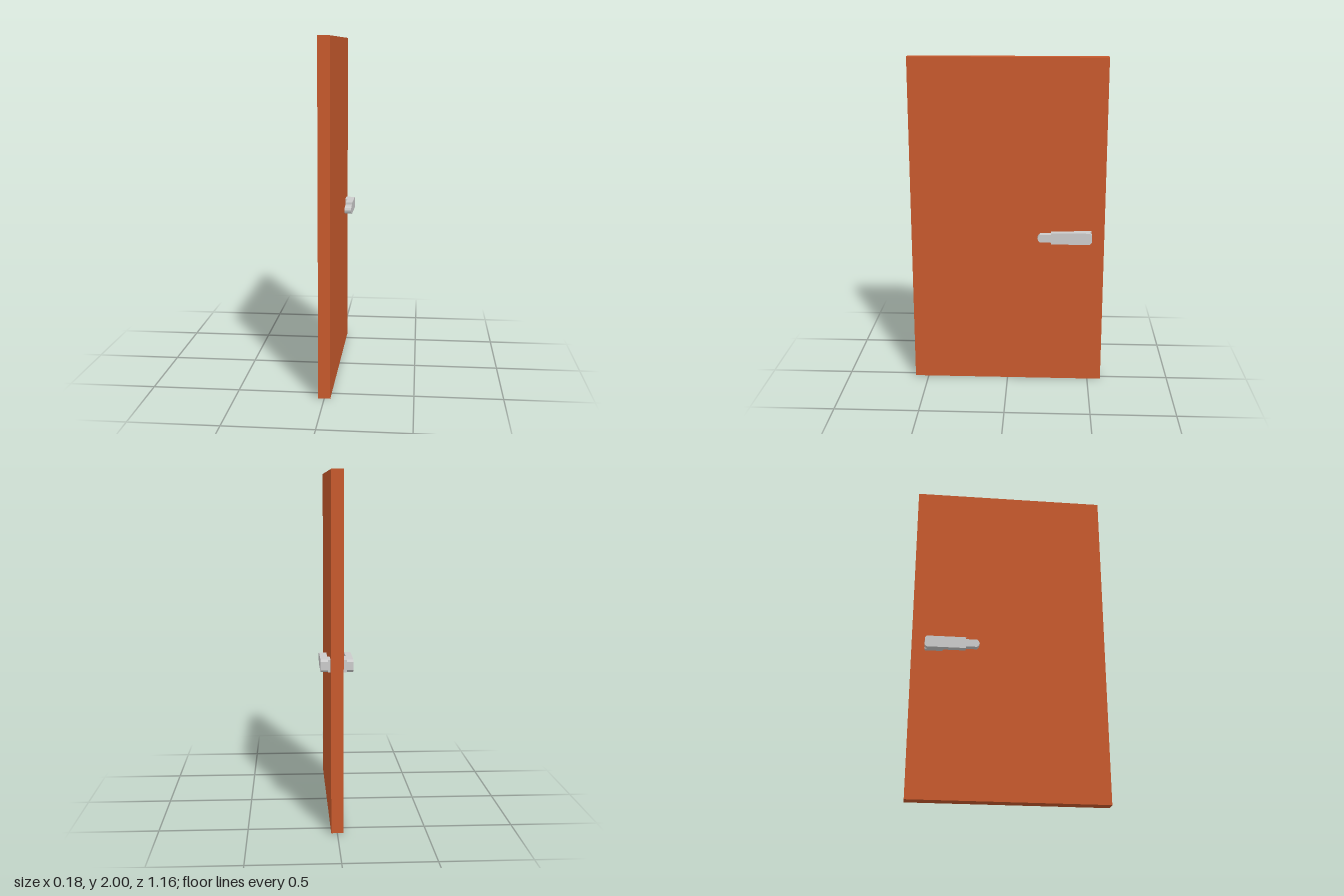
import * as THREE from 'three';

const metal = new THREE.MeshStandardMaterial({ color: 0xcccccc, flatShading: true });
const paint = new THREE.MeshStandardMaterial({ color: 0xc85a2d, flatShading: true });

// Extrude an outline of [a, b] points to a given depth
function prism(name, points, depth) {
  const shape = new THREE.Shape(points.map(([a, b]) => new THREE.Vector2(a, b)));
  const geometry = new THREE.ExtrudeGeometry(shape, { depth, bevelEnabled: false });
  const mesh = new THREE.Mesh(geometry, metal);
  mesh.name = name;
  return mesh;
}

// Lever outline as [z, y]: clipped back corners, stepped grip, rounded tip
const leverOutline = [
  [-0.505, 0.912], [-0.493, 0.9], [-0.262, 0.9], [-0.262, 0.911],
  [-0.197, 0.911], [-0.186, 0.921], [-0.181, 0.935], [-0.186, 0.948],
  [-0.197, 0.958], [-0.262, 0.958], [-0.262, 0.97], [-0.493, 0.97], [-0.505, 0.958],
];

function handle(name, inner, outer, neckOutline) {
  const group = new THREE.Group();
  group.name = name;
  const lever = prism('lever', leverOutline, outer - inner);
  lever.rotation.y = -Math.PI / 2;
  lever.position.x = outer;
  // Neck outline is [x, -z], extruded upward
  const neck = prism('neck', neckOutline, 0.07);
  neck.rotation.x = -Math.PI / 2;
  neck.position.y = 0.9;
  group.add(lever, neck);
  return group;
}

export function createModel() {
  const model = new THREE.Group();
  model.name = 'door';

  // Door slab
  const panel = new THREE.Mesh(new THREE.BoxGeometry(0.068, 2, 1.164), paint);
  panel.name = 'doorPanel';
  panel.position.y = 1;
  model.add(panel);

  // A handle on each face, joined to the slab by its neck
  model.add(
    handle('leftHandle', 0.048, 0.089,
      [[0.03, 0.4], [0.048, 0.4], [0.048, 0.505], [0.03, 0.505]]),
    handle('rightHandle', -0.092, -0.056,
      [[-0.056, 0.39], [-0.037, 0.4], [-0.03, 0.4], [-0.03, 0.505], [-0.056, 0.505]]),
  );
  return model;
}
